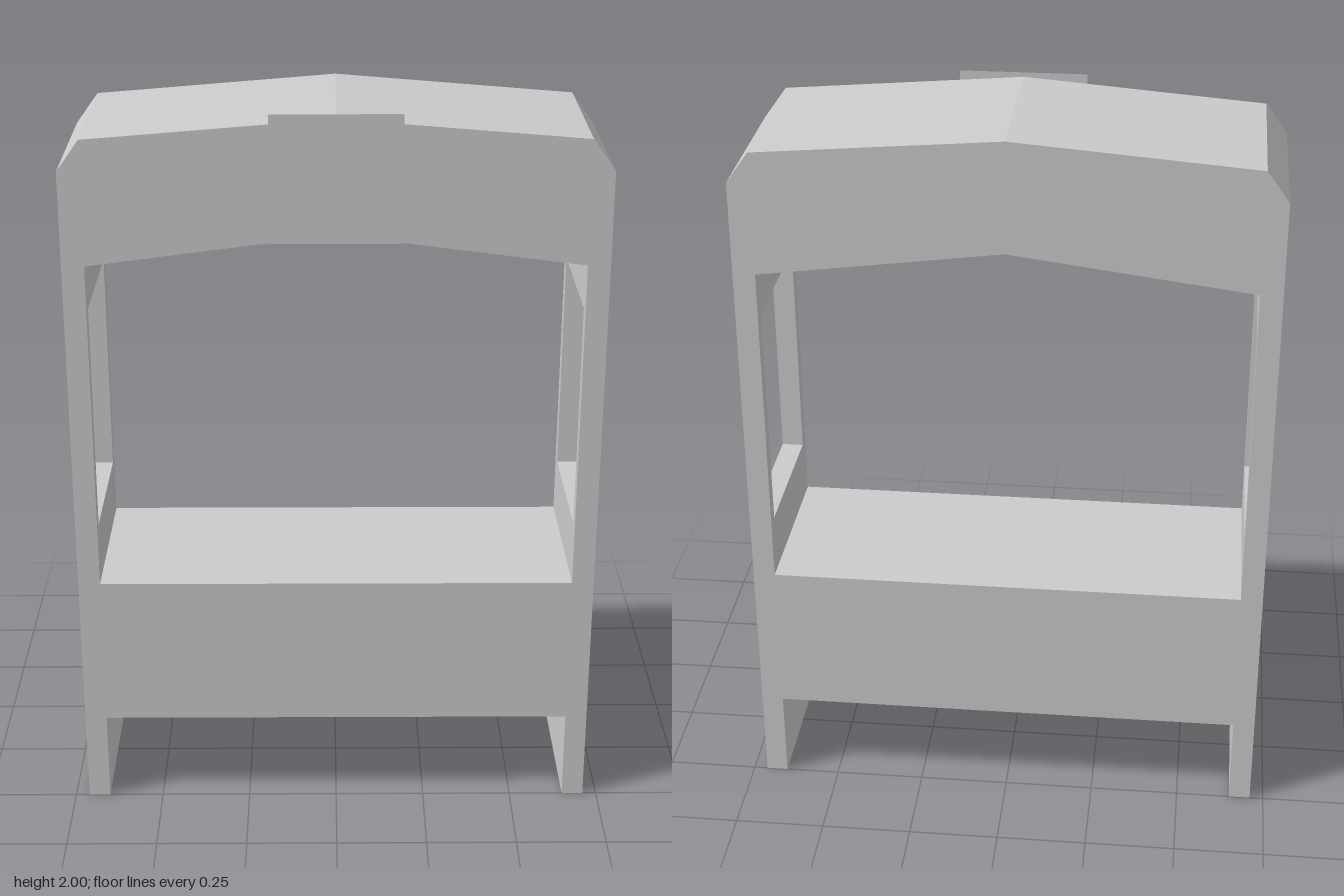
import * as THREE from 'three';

const W = 0.712, IN = 0.652, D = 0.5, EAVE = 1.6;

// Closed shape from points on the +x half (centre line to centre line), mirrored to -x
function mirrored(half) {
  const left = half.filter(([x]) => x > 0).reverse().map(([x, y]) => [-x, y]);
  return new THREE.Shape([...half, ...left].map(([x, y]) => new THREE.Vector2(x, y)));
}

function rectPath(PathType, x0, y0, x1, y1) {
  return new PathType([[x0, y0], [x1, y0], [x1, y1], [x0, y1]].map(([x, y]) => new THREE.Vector2(x, y)));
}

export function createModel() {
  const group = new THREE.Group();
  const solid = new THREE.MeshStandardMaterial({ color: 0xcccccc, flatShading: true });
  const thin = new THREE.MeshStandardMaterial({ color: 0xcccccc, flatShading: true, side: THREE.DoubleSide });

  function add(name, geometry, material = solid) {
    const mesh = new THREE.Mesh(geometry, material);
    mesh.name = name;
    group.add(mesh);
    return mesh;
  }

  // Side walls with a window opening
  for (const side of [1, -1]) {
    const wall = rectPath(THREE.Shape, -D / 2, 0, D / 2, EAVE);
    wall.holes.push(rectPath(THREE.Path, -0.211, 0.845, 0.211, 1.47));
    const geometry = new THREE.ExtrudeGeometry(wall, { depth: W - IN, bevelEnabled: false });
    geometry.rotateY(Math.PI / 2);
    geometry.translate(side > 0 ? IN : -W, 0, 0);
    add(side > 0 ? 'leftWall' : 'rightWall', geometry);
  }

  // Counter block between the walls
  const counter = add('counter', new THREE.BoxGeometry(2 * IN, 0.425, D));
  counter.position.y = 0.4675;

  // Roof: peaked and chamfered outside, hollow underneath
  const outer = [[W, EAVE], [W, 1.852], [IN, 1.935], [0, 1.988]];
  const roofShape = mirrored([[0, 1.91], [0.595, 1.86], [IN, EAVE], ...outer]);
  const roofDepth = D - 0.002;
  const roof = new THREE.ExtrudeGeometry(roofShape, { depth: roofDepth, bevelEnabled: false });
  roof.translate(0, 0, -roofDepth / 2);
  add('roof', roof);

  // Thin fascias closing the roof hollow; the front one carries a flat sign board
  const back = mirrored([[0, 1.685], [IN, EAVE], ...outer]);
  add('backFascia', new THREE.ShapeGeometry(back), thin).position.z = -D / 2;

  const front = mirrored([
    [0, 1.66], [0.175, 1.66], [0.175, 1.662], [IN, EAVE],
    ...outer.slice(0, 3), [0.172, 1.974], [0.172, 2], [0, 2],
  ]);
  add('frontFascia', new THREE.ShapeGeometry(front), thin).position.z = D / 2;

  return group;
}
